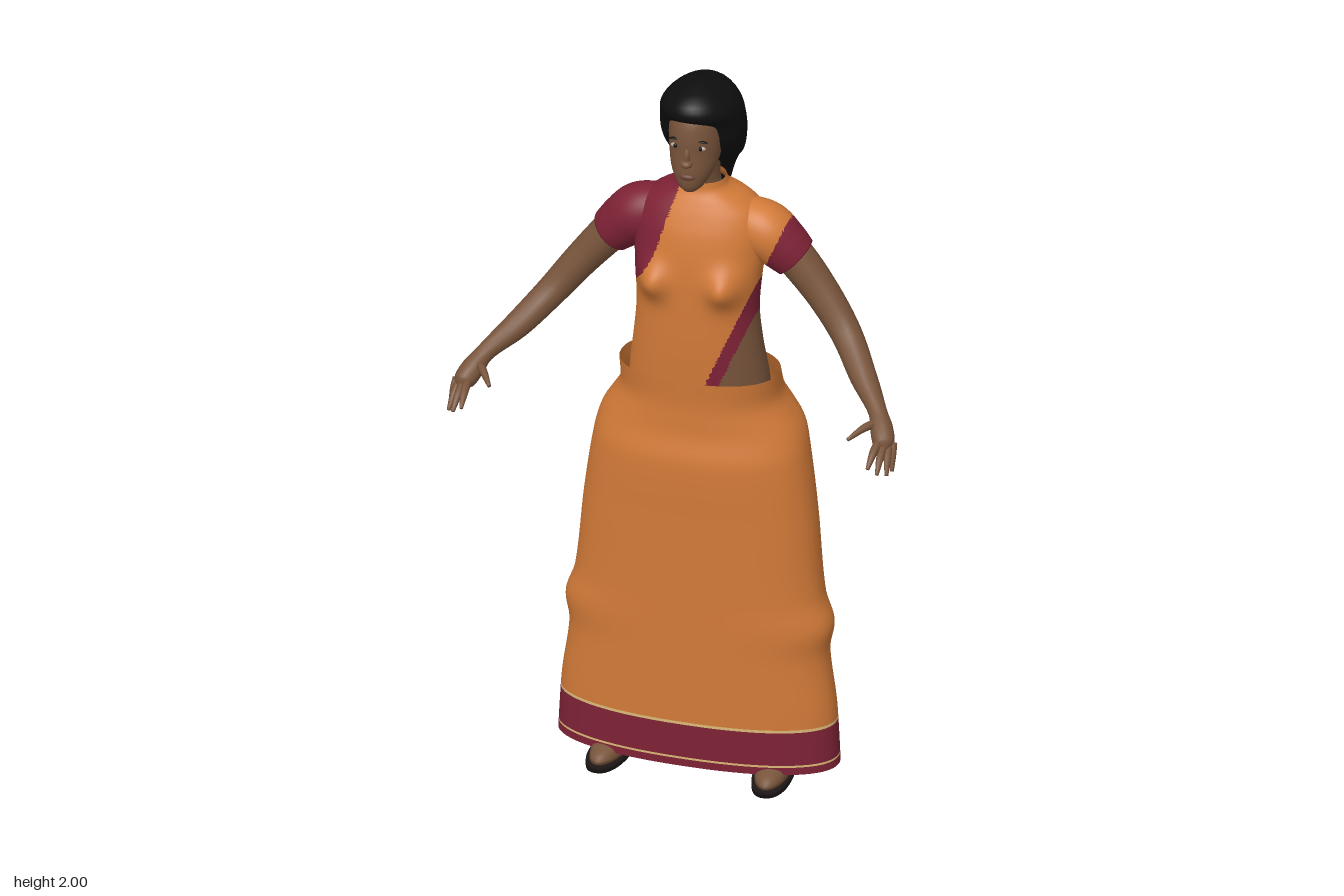
import * as THREE from 'three';

const mat = (name, color, side = THREE.DoubleSide) => {
  const m = new THREE.MeshStandardMaterial({ color, side });
  m.name = name;
  return m;
};
const orange = mat('orange cloth', 0xd27a38);
const maroon = mat('maroon cloth', 0x7e2236);
const gold = mat('gold trim', 0xdcb878);
const skin = mat('skin', 0x78543b);
const black = mat('black hair', 0x0e0e0e);
const sole = mat('sandal sole', 0x1d1616);
const white = mat('eye white', 0xb9aa9c);
const lip = mat('lips', 0x6a4034);

// Smooth value of column c at height y, from rows sorted by their first entry
function sample(keys, y, c) {
  const last = keys.length - 1;
  let i = 0;
  while (i < last - 1 && y > keys[i + 1][0]) i++;
  const slope = (k) => {
    const a = keys[Math.max(k - 1, 0)], b = keys[Math.min(k + 1, last)];
    return (b[c] - a[c]) / (b[0] - a[0]);
  };
  const p = keys[i], q = keys[i + 1], h = q[0] - p[0];
  const t = Math.min(1, Math.max(0, (y - p[0]) / h)), t2 = t * t, t3 = t2 * t;
  return (2 * t3 - 3 * t2 + 1) * p[c] + (t3 - 2 * t2 + t) * h * slope(i)
    + (3 * t2 - 2 * t3) * q[c] + (t3 - t2) * h * slope(i + 1);
}

// Skin a stack of rings; pick(x, y, z) chooses a material index per face
function ringMesh(name, rings, material, { caps = false, pick } = {}) {
  const n = rings[0].length, pos = rings.flat().flatMap((p) => [p.x, p.y, p.z]);
  const mats = [material].flat(), lists = mats.map(() => []);
  const at = (i, c) => pos[i * 3 + c];
  const tri = (...t) => {
    const mid = [0, 1, 2].map((c) => (at(t[0], c) + at(t[1], c) + at(t[2], c)) / 3);
    lists[pick ? pick(...mid) : 0].push(...t);
  };
  for (let i = 0; i < rings.length - 1; i++) for (let j = 0; j < n; j++) {
    const k = (j + 1) % n, a = i * n + j, b = i * n + k;
    tri(a, a + n, b);
    tri(b, a + n, b + n);
  }
  if (caps) [0, rings.length - 1].forEach((r) => {
    const mid = new THREE.Vector3();
    rings[r].forEach((p) => mid.addScaledVector(p, 1 / n));
    const m = pos.length / 3;
    pos.push(mid.x, mid.y, mid.z);
    for (let j = 0; j < n; j++) {
      const a = r * n + j, b = r * n + (j + 1) % n;
      r === 0 ? tri(m, a, b) : tri(m, b, a);
    }
  });
  const g = new THREE.BufferGeometry();
  g.setAttribute('position', new THREE.Float32BufferAttribute(pos, 3));
  g.setIndex(lists.flat());
  let start = 0;
  lists.forEach((l, i) => { g.addGroup(start, l.length, i); start += l.length; });
  g.computeVertexNormals();
  const mesh = new THREE.Mesh(g, mats.length > 1 ? mats : mats[0]);
  mesh.name = name;
  return mesh;
}

// Upright body from rows of [y, half width, front z, back z]
function loft(name, keys, material, o = {}) {
  const { y0 = keys[0][0], y1 = keys[keys.length - 1][0], rows = 24, seg = 40, power = 2, bump } = o;
  const bend = (v) => Math.sign(v) * Math.abs(v) ** (2 / power);
  const rings = [];
  for (let i = 0; i <= rows; i++) {
    const y = y0 + (y1 - y0) * i / rows;
    const [rx, zf, zb] = [1, 2, 3].map((c) => sample(keys, y, c));
    rings.push(Array.from({ length: seg }, (_, j) => {
      const a = j / seg * Math.PI * 2;
      const p = new THREE.Vector3(rx * bend(Math.cos(a)), y, (zf + zb) / 2 + (zf - zb) / 2 * bend(Math.sin(a)));
      if (bump && Math.sin(a) > 0) p.z += bump(p.x, y);
      return p;
    }));
  }
  return ringMesh(name, rings, material, o);
}

// Tapered limb through points [x, y, z, radius], mirrored by side
function limb(name, pts, side, material, o = {}) {
  const { steps = 24, seg = 14 } = o;
  const curve = new THREE.CatmullRomCurve3(pts.map((p) => new THREE.Vector3(p[0] * side, p[1], p[2])));
  const radii = pts.map((p, i) => [i / (pts.length - 1), p[3]]);
  const rings = [];
  for (let i = 0; i <= steps; i++) {
    const t = i / steps, c = curve.getPoint(t), T = curve.getTangent(t), r = sample(radii, t, 1);
    const N = new THREE.Vector3().crossVectors(T, new THREE.Vector3(0, 0, 1)).normalize();
    const B = new THREE.Vector3().crossVectors(T, N);
    rings.push(Array.from({ length: seg }, (_, j) => {
      const a = j / seg * Math.PI * 2;
      return c.clone().addScaledVector(N, r * Math.cos(a)).addScaledVector(B, -r * Math.sin(a));
    }));
  }
  return ringMesh(name, rings, material, { caps: true, ...o });
}

function blob(name, material, x, y, z, sx, sy, sz, tilt = 0) {
  const m = new THREE.Mesh(new THREE.SphereGeometry(1, 16, 10), material);
  m.name = name;
  m.position.set(x, y, z);
  m.scale.set(sx, sy, sz);
  m.rotation.z = tilt;
  return m;
}

// Draped cloth layout: 0 orange drape, 1 maroon blouse and border, 2 bare waist
function dress(x, y) {
  if (x > 0) {
    const edge = 0.05 + 0.42 * (y - 1.165);
    if (x < edge) return 0;
    return x < edge + 0.035 || y > 1.35 ? 1 : 2;
  }
  return x < -0.05 - 0.27 * (1.68 - y) - 2 * Math.max(0, 1.55 - y) ** 2 ? 1 : 0;
}

export function createModel() {
  const model = new THREE.Group();
  model.name = 'woman in draped dress';
  const cloth = [orange, maroon, skin];

  // Long skirt, with a border and two trim lines at the hem
  const skirt = [[0.035, 0.38, 0.076, -0.197], [0.2, 0.37, 0.077, -0.2], [0.36, 0.35, 0.077, -0.205],
    [0.44, 0.361, 0.077, -0.21], [0.52, 0.336, 0.077, -0.215], [0.75, 0.313, 0.078, -0.23],
    [0.93, 0.288, 0.078, -0.248], [1.0, 0.27, 0.062, -0.255], [1.05, 0.24, 0.058, -0.25],
    [1.09, 0.218, 0.056, -0.235], [1.165, 0.214, 0.06, -0.19]];
  [['hemLower', 0.035, 0.056, maroon, 1], ['hemTrimLower', 0.056, 0.062, gold, 1], ['hemBorder', 0.062, 0.158, maroon, 2],
    ['hemTrimUpper', 0.158, 0.166, gold, 1], ['skirt', 0.166, 1.165, orange, 60]].forEach(([name, y0, y1, m, rows]) =>
    model.add(loft(name, skirt, m, { y0, y1, rows, seg: 64, power: 2.25 })));

  // Torso with drape, blouse and bare waist
  const bust = (x, y) => 0.042 * Math.exp(-(((Math.abs(x) - 0.1) / 0.045) ** 2) - ((y - 1.445) / 0.05) ** 2);
  model.add(loft('torso', [[1.1, 0.19, 0.045, -0.18], [1.165, 0.184, 0.048, -0.17], [1.25, 0.172, 0.052, -0.157],
    [1.35, 0.163, 0.053, -0.152], [1.45, 0.168, 0.05, -0.168], [1.52, 0.175, 0.043, -0.186],
    [1.58, 0.175, 0.03, -0.195], [1.63, 0.16, 0.01, -0.19], [1.665, 0.12, -0.008, -0.172],
    [1.69, 0.075, -0.022, -0.15], [1.715, 0.064, -0.026, -0.138]], cloth,
  { rows: 100, seg: 128, power: 2.2, bump: bust, pick: dress }));

  // Neck and head
  model.add(loft('neck', [[1.66, 0.058, -0.03, -0.14], [1.72, 0.05, -0.022, -0.13], [1.8, 0.052, 0, -0.13]], skin));
  model.add(loft('head', [[1.722, 0.018, 0.04, 0], [1.735, 0.034, 0.05, -0.03], [1.78, 0.058, 0.055, -0.08],
    [1.83, 0.069, 0.052, -0.12], [1.88, 0.073, 0.051, -0.14], [1.93, 0.07, 0.038, -0.15],
    [1.97, 0.045, 0, -0.12]], skin, { caps: true }));
  model.add(blob('nose', skin, 0, 1.83, 0.05, 0.009, 0.026, 0.012), blob('noseTip', skin, 0, 1.813, 0.055, 0.016, 0.011, 0.016));
  model.add(blob('lips', lip, 0, 1.772, 0.051, 0.022, 0.009, 0.009));
  for (const s of [1, -1]) {
    model.add(blob('eye', white, s * 0.034, 1.856, 0.039, 0.014, 0.006, 0.006));
    model.add(blob('iris', black, s * 0.034, 1.856, 0.042, 0.006, 0.006, 0.005));
    model.add(blob('eyebrow', black, s * 0.036, 1.876, 0.039, 0.017, 0.003, 0.005, s * -0.1));
  }

  // Hair gathered at the nape, then a tapering braid with a tassel
  model.add(loft('hair', [[1.62, 0.035, -0.18, -0.225], [1.7, 0.06, -0.14, -0.212], [1.75, 0.082, -0.08, -0.208],
    [1.78, 0.1, -0.04, -0.207], [1.84, 0.113, 0.002, -0.206], [1.9, 0.111, 0.02, -0.2],
    [1.935, 0.104, 0.046, -0.195], [1.965, 0.082, 0.04, -0.178], [1.988, 0.05, 0.008, -0.14],
    [2, 0.012, -0.045, -0.085]], black, { caps: true, rows: 36 }));
  for (let i = 0; i < 16; i++) {
    const s = i % 2 ? 1 : -1, w = 1 - i * 0.03;
    model.add(blob('braidStrand', black, s * 0.013 * w, 1.66 - i * 0.0175, -0.2 - 0.02 * Math.sin(i / 15 * Math.PI),
      0.03 * w, 0.021, 0.026 * w, s * 0.6));
  }
  model.add(blob('braidTassel', black, 0, 1.352, -0.198, 0.02, 0.045, 0.017));

  for (const s of [1, -1]) {
    // Sleeves and arms
    model.add(limb('sleeve', [[0.09, 1.6, -0.09, 0.06], [0.165, 1.573, -0.09, 0.076], [0.212, 1.533, -0.095, 0.071],
      [0.248, 1.497, -0.1, 0.062]], s, cloth, { steps: 40, seg: 48, pick: dress }));
    model.add(limb('arm', [[0.2, 1.55, -0.095, 0.05], [0.25, 1.495, -0.1, 0.052], [0.33, 1.4, -0.09, 0.046],
      [0.4, 1.312, -0.06, 0.041], [0.47, 1.24, 0.02, 0.036], [0.533, 1.19, 0.1, 0.025],
      [0.555, 1.16, 0.135, 0.03], [0.57, 1.135, 0.165, 0.028], [0.575, 1.122, 0.18, 0.012]], s, skin, { steps: 40 }));
    // Fingers and thumb, each from base to tip
    [[0.592, 1.135, 0.155, 0.6, 1.07, 0.19], [0.583, 1.13, 0.165, 0.595, 1.073, 0.222],
      [0.571, 1.132, 0.172, 0.576, 1.085, 0.246], [0.558, 1.14, 0.175, 0.552, 1.1, 0.25],
      [0.545, 1.175, 0.125, 0.487, 1.158, 0.214]].forEach(([x, y, z, u, v, w], i) => model.add(
      limb(i < 4 ? 'finger' : 'thumb', [[x, y, z, 0.012], [(x + u) / 2, (y + v) / 2 + 0.006, (z + w) / 2, 0.0105],
        [u, v, w, 0.005]], s, skin, { steps: 8, seg: 8 })));

    // Legs and sandalled feet
    model.add(limb('leg', [[0.21, 0.05, -0.08, 0.034], [0.205, 0.14, -0.08, 0.036], [0.19, 0.35, -0.08, 0.055],
      [0.17, 0.6, -0.07, 0.065]], s, skin));
    const foot = new THREE.Group();
    foot.name = 'foot';
    foot.add(loft('sandalSole', [[0, 0.051, 0.12, -0.13], [0.018, 0.051, 0.12, -0.13]], sole, { caps: true, rows: 1, power: 2.3 }));
    foot.add(loft('footTop', [[0.018, 0.046, 0.11, -0.12], [0.04, 0.044, 0.095, -0.122], [0.06, 0.036, 0.03, -0.12],
      [0.09, 0.03, -0.03, -0.115]], skin, { caps: true, rows: 8 }));
    foot.position.x = s * 0.22;
    foot.rotation.y = s * 0.08;
    model.add(foot);
  }
  return model;
}
